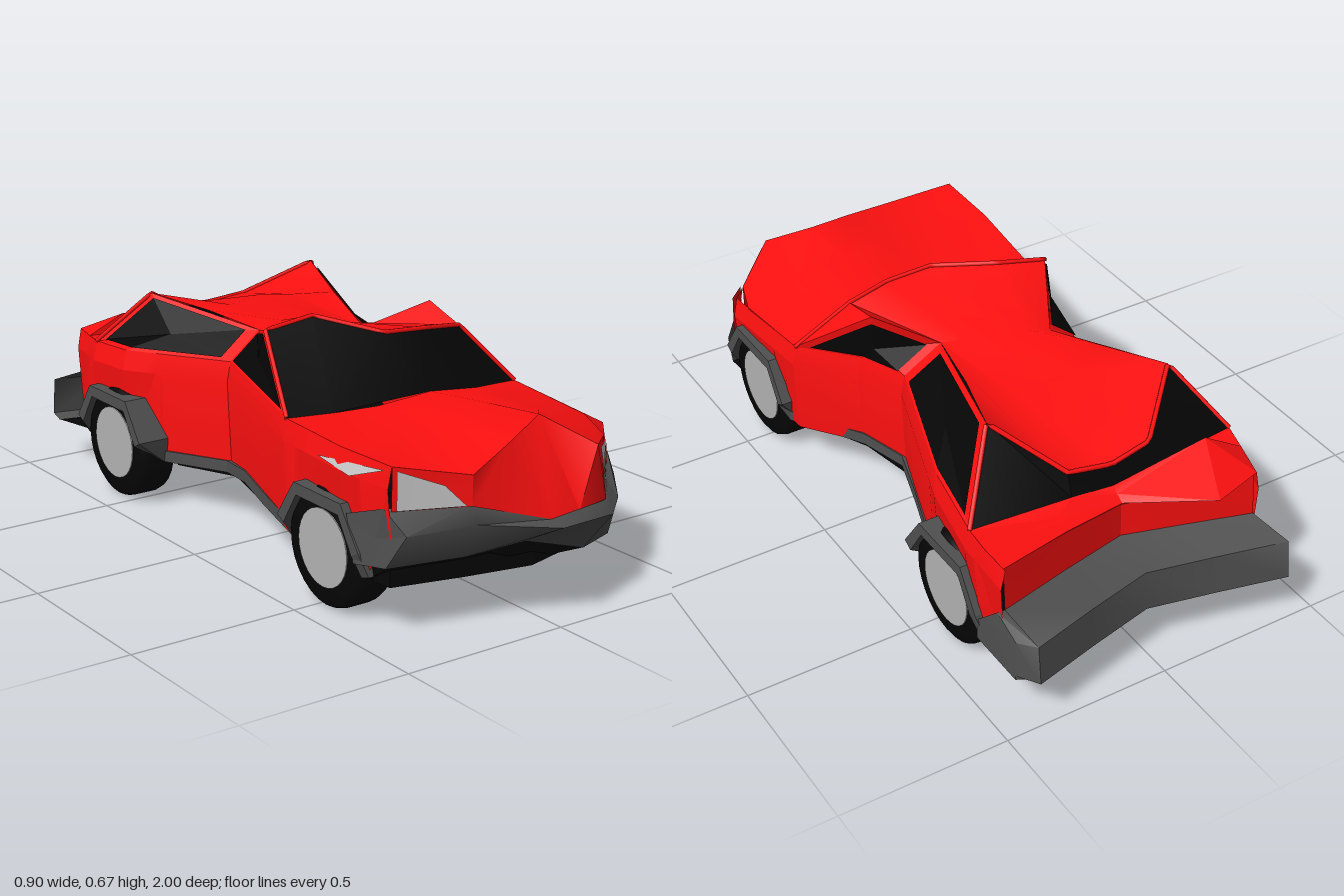
import * as THREE from 'three';
import { toCreasedNormals } from 'three/addons/utils/BufferGeometryUtils.js';

const RED = 0xff1010, BLACK = 0x060606, GREY = 0x505050, LAMP = 0xcccccc;
const paint = (color) => new THREE.MeshStandardMaterial({ color, side: THREE.DoubleSide });
const vec = (p) => new THREE.Vector3(...p);

// Surface through rows of equally many points
function grid(name, rows, color, crease = 0.6) {
  const n = rows[0].length, index = [];
  for (let r = 0; r < rows.length - 1; r++)
    for (let c = 0; c < n - 1; c++) {
      const a = r * n + c, b = a + n;
      index.push(a, b, a + 1, a + 1, b, b + 1);
    }
  const geo = new THREE.BufferGeometry();
  geo.setAttribute('position', new THREE.Float32BufferAttribute(rows.flat(2), 3));
  geo.setIndex(index);
  const mesh = new THREE.Mesh(toCreasedNormals(geo, crease), paint(color));
  mesh.name = name;
  return mesh;
}

// Polygon fanned from its centre, shrunk by scale and lifted outwards
function patch(name, corners, color, scale = 1, lift = 0) {
  const pts = corners.map(vec), normal = new THREE.Vector3(), centre = new THREE.Vector3();
  pts.forEach((p) => centre.addScaledVector(p, 1 / pts.length));
  pts.forEach((p, i) => normal.add(p.clone().sub(centre).cross(pts[(i + 1) % pts.length].clone().sub(centre))));
  normal.normalize();
  if (normal.dot(centre.clone().sub(new THREE.Vector3(0, 0.35, centre.z * 0.5))) < 0) normal.negate();
  const move = (p) => p.clone().sub(centre).multiplyScalar(scale).add(centre).addScaledVector(normal, lift);
  const ring = [...pts, pts[0]].map((p) => move(p).toArray());
  const mid = move(centre).toArray();
  return grid(name, [ring.map(() => mid), ring], color, 0.1);
}

// Red panel carrying an inset pane of glass
function framed(name, corners, color, scale) {
  const group = new THREE.Group();
  group.name = name;
  group.add(patch(name + 'Frame', corners, RED), patch(name + 'Pane', corners, color, scale, 0.005));
  return group;
}

function bar(name, points, radius) {
  const curve = new THREE.CatmullRomCurve3(points.map(vec), false, 'catmullrom', 0);
  const mesh = new THREE.Mesh(new THREE.TubeGeometry(curve, points.length * 8, radius, 6), paint(RED));
  mesh.name = name;
  return mesh;
}

// Linear lookup in a table of [z, value...]
function lookup(table, z, k) {
  let i = 1;
  while (i < table.length - 1 && z > table[i][0]) i++;
  const a = table[i - 1], b = table[i];
  const t = THREE.MathUtils.clamp((z - a[0]) / (b[0] - a[0]), 0, 1);
  return a[k] + (b[k] - a[k]) * t;
}

// Lower edge of a side as [z, y]: around both wheels and along the sill
const arch = (c) => [[-0.172, 0.14], [-0.155, 0.2], [-0.095, 0.295], [0.095, 0.295], [0.155, 0.2], [0.172, 0.14]].map(([z, y]) => [c + z, y]);
const trimLine = [...arch(-0.57), [-0.18, 0.15], [-0.04, 0.165], [0.12, 0.155], ...arch(0.53)];

// Door and wing panels with the grey trim; belt is [z, width, height]
function side(name, s, belt) {
  const group = new THREE.Group();
  group.name = name;
  const end = belt[belt.length - 1][0];
  const edge = [[-0.87, 0.2], ...trimLine, [end, 0.27]];
  const zs = [...new Set([...belt, ...edge].map((p) => p[0]))].sort((a, b) => a - b);
  const x = (z, out = 0) => s * (lookup(belt, z, 1) + out);
  group.add(grid(name + 'Panels', [
    zs.map((z) => [x(z), lookup(belt, z, 2), z]),
    zs.map((z) => [x(z, 0.012), lookup(belt, z, 2) - 0.06, z]),
    zs.map((z) => [x(z), lookup(edge, z, 1), z]),
  ], RED, 0.25));
  // Trim stands out to a fixed width over the wheels
  const outer = trimLine.map(([z, y], i) => {
    const a = trimLine[Math.max(i - 1, 0)], b = trimLine[Math.min(i + 1, trimLine.length - 1)];
    const dz = b[0] - a[0], dy = b[1] - a[1], l = Math.hypot(dz, dy);
    return [z - dy / l * 0.033, y + dz / l * 0.036];
  });
  const face = trimLine.map(([z, y]) => (y > 0.18 ? s * 0.448 : x(z, 0.006)));
  group.add(grid(name + 'Trim', [
    trimLine.map(([z, y]) => [x(z, -0.05), y, z]), trimLine.map(([z, y], i) => [face[i], y, z]),
    outer.map(([z, y], i) => [face[i], y, z]), outer.map(([z, y]) => [x(z, -0.01), y, z]),
  ], GREY, 0.3));
  return group;
}

export function createModel() {
  const car = new THREE.Group();
  car.name = 'crumpledCar';

  // Sides, pinched at the doors
  car.add(side('leftSide', 1, [[-0.86, 0.43, 0.45], [-0.68, 0.42, 0.445], [-0.45, 0.38, 0.455], [-0.05, 0.25, 0.49],
    [0.13, 0.29, 0.46], [0.31, 0.41, 0.435], [0.68, 0.42, 0.40], [0.74, 0.37, 0.39]]));
  car.add(side('rightSide', -1, [[-0.88, 0.36, 0.45], [-0.69, 0.41, 0.46], [-0.53, 0.4, 0.465], [-0.17, 0.26, 0.49],
    [0.31, 0.39, 0.465], [0.6, 0.42, 0.47], [0.82, 0.42, 0.475]]));

  // Bonnet
  const bonnetBase = [[-0.39, 0.465, 0.31], [-0.25, 0.46, 0.33], [-0.1, 0.455, 0.335], [0.08, 0.465, 0.335], [0.25, 0.445, 0.33], [0.41, 0.435, 0.31]];
  const bonnetEdge = [[-0.42, 0.475, 0.82], [-0.21, 0.43, 0.885], [-0.05, 0.468, 0.83], [0.105, 0.505, 0.77], [0.215, 0.43, 0.885], [0.37, 0.39, 0.74]];
  car.add(grid('bonnet', [bonnetBase,
    [[-0.42, 0.47, 0.6], [-0.24, 0.455, 0.62], [-0.07, 0.475, 0.6], [0.09, 0.49, 0.58], [0.25, 0.45, 0.6], [0.42, 0.405, 0.6]],
    bonnetEdge], RED));

  // Nose and headlamps
  const [n0, n1, n2, n3, n4, n5] = bonnetEdge;
  const l0 = [-0.42, 0.355, 0.82], l1 = [-0.22, 0.35, 0.895], l2 = [0, 0.285, 0.95], l3 = [0.265, 0.262, 0.87], l4 = [0.37, 0.262, 0.74];
  car.add(grid('nose', [[n1, n2, n3, n4], [l1, l2, [0.13, 0.272, 0.915], l3]], RED, 0.9));
  car.add(patch('rightLampSurround', [n0, n1, l1, l0], RED));
  car.add(patch('rightHeadlamp', [[-0.41, 0.465, 0.824], [-0.29, 0.415, 0.867], [-0.235, 0.355, 0.89], [-0.41, 0.358, 0.824]], LAMP, 1, 0.008));
  car.add(framed('leftHeadlamp', [n4, n5, l4, l3], LAMP, 0.84));
  car.add(patch('leftWingCorner', [n5, [0.425, 0.4, 0.68], [0.43, 0.25, 0.68], l4], RED, 1, 0.008));
  car.add(patch('rightSideLens', [[-0.424, 0.46, 0.8], [-0.421, 0.42, 0.5], [-0.433, 0.408, 0.66]], LAMP, 1, 0.004));

  // Front bumper and the floor behind its lip
  const bumperLip = [[-0.43, 0.2, 0.81], [-0.21, 0.2, 0.86], [-0.07, 0.235, 0.93], [0.18, 0.145, 0.88], [0.37, 0.11, 0.77], [0.44, 0.16, 0.7]];
  car.add(grid('frontBumper', [
    [[-0.43, 0.36, 0.8], [-0.21, 0.355, 0.89], [0, 0.285, 0.95], [0.25, 0.265, 0.88], [0.375, 0.265, 0.74], [0.43, 0.32, 0.69]],
    [[-0.41, 0.3, 0.87], [-0.21, 0.3, 0.905], [0, 0.275, 1], [0.25, 0.235, 0.915], [0.385, 0.22, 0.79], [0.45, 0.25, 0.7]],
    bumperLip], GREY, 0.9));
  car.add(grid('frontUnderside', [bumperLip, bumperLip.map(([x, , z]) => [x * 0.95, 0.135, z - 0.1])], BLACK));
  car.add(patch('rightBumperEnd', [[-0.43, 0.36, 0.8], [-0.41, 0.3, 0.87], [-0.43, 0.2, 0.81], [-0.445, 0.18, 0.69], [-0.445, 0.31, 0.66]], GREY));

  // Roof, dented across the middle and folded down at the back
  const roofFront = [[-0.29, 0.64, 0.06], [-0.145, 0.665, 0.08], [0, 0.625, 0.225], [0.145, 0.617, 0.23], [0.28, 0.6, 0.21]];
  const roofMid = [[-0.16, 0.57, -0.17], [-0.09, 0.59, -0.16], [0, 0.585, -0.13], [0.07, 0.575, -0.09], [0.13, 0.56, -0.05]];
  const roofBack = [[-0.3, 0.625, -0.54], [-0.13, 0.53, -0.7], [0, 0.515, -0.715], [0.13, 0.53, -0.7], [0.28, 0.645, -0.535]];
  car.add(grid('roof', [roofFront, roofMid,
    [[-0.22, 0.6, -0.35], [-0.11, 0.59, -0.4], [0, 0.6, -0.42], [0.11, 0.59, -0.4], [0.2, 0.605, -0.3]], roofBack], RED, 0.9));

  // Windscreen and back window
  const screenBase = bonnetBase.filter((p, i) => i !== 2);
  const backBase = [[-0.41, 0.46, -0.69], [-0.13, 0.46, -0.72], [0, 0.45, -0.725], [0.13, 0.46, -0.72], [0.42, 0.445, -0.68]];
  car.add(grid('windscreen', [roofFront, screenBase], BLACK));
  car.add(grid('backWindow', [roofBack, backBase], BLACK));
  car.add(bar('windscreenFrame', [screenBase[0], ...roofFront, screenBase[4]], 0.007));
  car.add(bar('backWindowFrame', [backBase[0], ...roofBack, backBase[4]], 0.007));

  // Side windows
  const rightPost = [-0.26, 0.49, -0.17], leftPost = [0.25, 0.49, -0.05];
  car.add(framed('rightFrontWindow', [screenBase[0], roofFront[0], roofMid[0], rightPost], BLACK, 0.86));
  car.add(framed('rightRearWindow', [roofMid[0], roofBack[0], backBase[0], [-0.4, 0.465, -0.53], rightPost], BLACK, 0.86));
  car.add(framed('leftRearWindow', [roofMid[4], roofBack[4], backBase[4], [0.38, 0.455, -0.45], leftPost], BLACK, 0.86));

  // Left front door frame, buckled up into a flap
  const flap = [0.29, 0.64, 0.06];
  car.add(patch('roofFlap', [roofFront[4], flap, roofMid[4]], RED));
  car.add(patch('leftPillar', [screenBase[4], roofFront[4], flap], RED));
  car.add(framed('leftFrontWindow', [screenBase[4], flap, roofMid[4], leftPost, [0.29, 0.46, 0.13]], BLACK, 0.8));

  // Boot lid with an overhanging corner, and tail
  const bootEdge = [[-0.36, 0.45, -0.88], [-0.2, 0.455, -0.93], [0, 0.42, -0.77], [0.2, 0.44, -0.81], [0.43, 0.45, -0.86]];
  const tailTop = [[-0.36, 0.44, -0.87], [-0.2, 0.435, -0.83], [0, 0.41, -0.765], [0.2, 0.43, -0.805], [0.43, 0.44, -0.86]];
  const tailBase = [[-0.36, 0.31, -0.88], [-0.2, 0.31, -0.83], [0, 0.31, -0.77], [0.2, 0.31, -0.81], [0.43, 0.32, -0.87]];
  car.add(grid('bootLid', [backBase,
    [[-0.39, 0.455, -0.77], [-0.28, 0.515, -0.75], [0, 0.435, -0.745], [0.2, 0.445, -0.755], [0.43, 0.45, -0.77]],
    bootEdge], RED, 0.3));
  car.add(grid('tailPanel', [bootEdge, tailTop, tailBase], RED, 0.3));

  // Rear bumper, wrapped round the left corner only
  const rear = (y, z) => [[-0.405, y, -z], [-0.2, y, -z + 0.05], [0, y, -z + 0.095], [0.2, y, -z + 0.05], [0.4, y, -z], [0.44, y, -0.94], [0.44, y, -0.75]];
  const rearTop = [...tailBase, [0.44, 0.3, -0.85], [0.44, 0.2, -0.75]];
  car.add(grid('rearBumper', [rearTop, rear(0.265, 0.985).map(([x, y, z], i) => [x, i > 5 ? 0.19 : y, z]), rear(0.15, 1), rear(0.137, 0.96)], GREY, 1));
  car.add(grid('rearUnderside', [rear(0.138, 0.96), rear(0.14, 0.96).map(([x, y]) => [x * 0.9, y, -0.75])], BLACK));

  // Underbody with wheel bays cut in
  const plan = [[0.36, -0.83], [0.41, -0.77], [0.29, -0.77], [0.29, -0.36], [0.34, -0.36], [0.245, -0.05], [0.28, 0.13], [0.38, 0.33],
    [0.29, 0.33], [0.29, 0.72], [0.34, 0.73], [0.2, 0.83], [0, 0.88], [-0.2, 0.84], [-0.4, 0.79], [-0.41, 0.73], [-0.29, 0.73],
    [-0.29, 0.33], [-0.38, 0.33], [-0.25, -0.15], [-0.25, -0.18], [-0.33, -0.36], [-0.29, -0.36], [-0.29, -0.77], [-0.37, -0.77], [-0.35, -0.83], [0, -0.755]];
  const shape = new THREE.Shape(plan.map(([x, z]) => new THREE.Vector2(x, -z)));
  const floor = new THREE.Mesh(new THREE.ExtrudeGeometry(shape, { depth: 0.14, bevelEnabled: false }), paint(BLACK));
  floor.name = 'underbody';
  floor.rotation.x = -Math.PI / 2;
  floor.position.y = 0.135;
  car.add(floor);

  // Wheels and wheel bay roofs
  const tyre = [[0, -0.06], [0.15, -0.06], [0.165, -0.05], [0.17, -0.035], [0.17, 0.035], [0.165, 0.05], [0.15, 0.06], [0, 0.06]];
  const tyreGeo = toCreasedNormals(new THREE.LatheGeometry(tyre.map(([r, h]) => new THREE.Vector2(r, h)), 28), 0.7);
  for (const [end, z] of [['front', 0.53], ['rear', -0.57]]) {
    const bay = new THREE.Mesh(new THREE.BoxGeometry(0.72, 0.01, 0.32), paint(BLACK));
    bay.name = end + 'WheelBay';
    bay.position.set(0, 0.345, z);
    car.add(bay);
    for (const s of [1, -1]) {
      const wheel = new THREE.Group();
      wheel.name = end + (s > 0 ? 'Left' : 'Right') + 'Wheel';
      const tyreMesh = new THREE.Mesh(tyreGeo, paint(BLACK));
      tyreMesh.name = 'tyre';
      const hub = new THREE.Mesh(new THREE.CylinderGeometry(0.11, 0.11, 0.126, 28), paint(0xb4b4b4));
      hub.name = 'hub';
      wheel.add(tyreMesh, hub);
      wheel.rotation.z = Math.PI / 2;
      wheel.position.set(s * 0.366, 0.17, z);
      car.add(wheel);
    }
  }
  return car;
}
